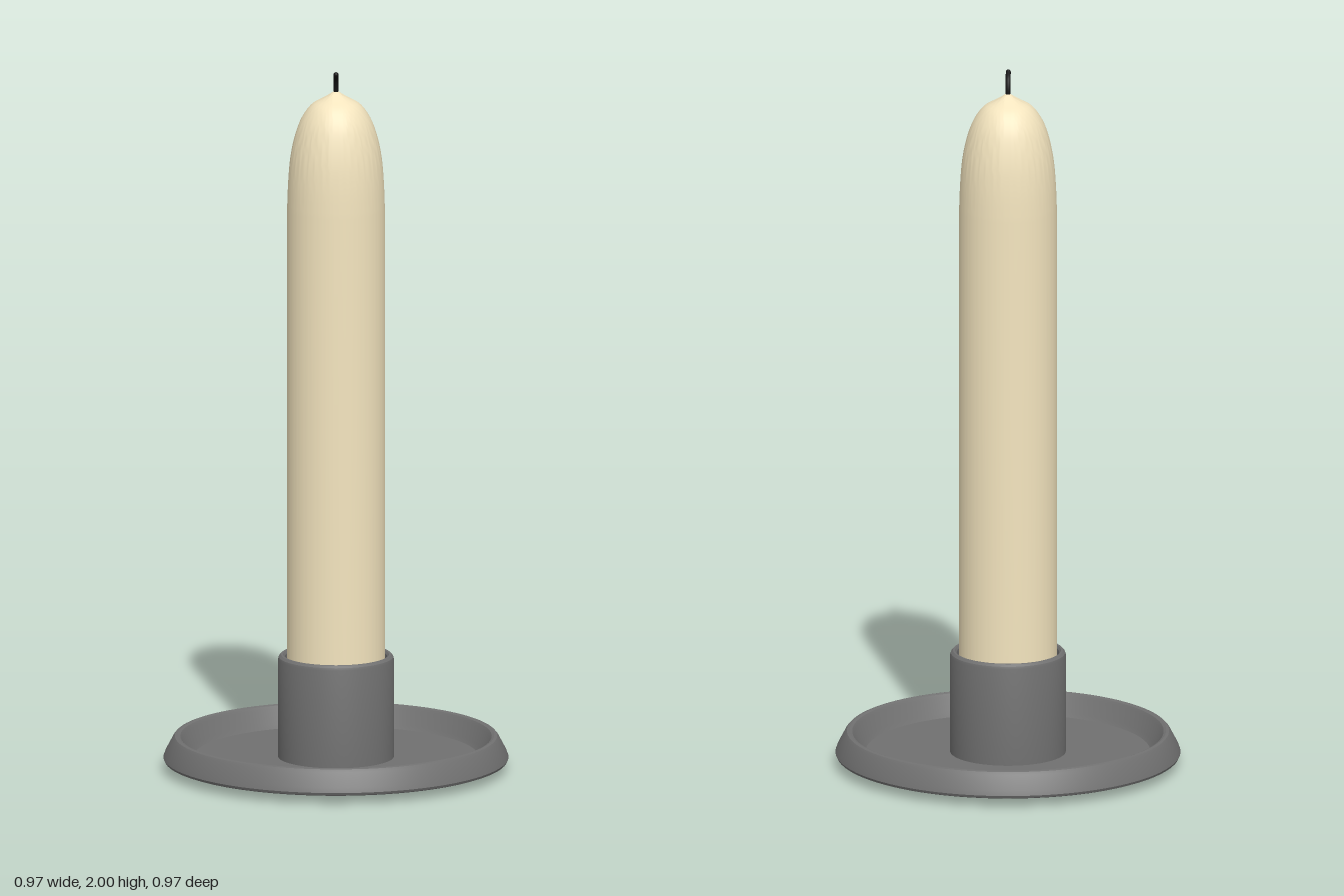
import * as THREE from 'three';
import { toCreasedNormals } from 'three/addons/utils/BufferGeometryUtils.js';

const metal = new THREE.MeshStandardMaterial({ color: 0x707070 });
const wax = new THREE.MeshStandardMaterial({ color: 0xf3e4be });
const char = new THREE.MeshStandardMaterial({ color: 0x141414 });

// Turned part from [radius, height] pairs, listed from the bottom axis outwards and up
function turned(name, profile, material, segments = 80) {
  const points = profile.map(([r, y]) => new THREE.Vector2(r, y));
  const geometry = toCreasedNormals(new THREE.LatheGeometry(points, segments), 0.5);
  const mesh = new THREE.Mesh(geometry, material);
  mesh.name = name;
  return mesh;
}

// Wax body with a softly fluted shoulder
function makeCandle() {
  const dome = new THREE.SplineCurve([
    [0.137, 1.6], [0.134, 1.68], [0.128, 1.75], [0.116, 1.81],
    [0.098, 1.86], [0.07, 1.9], [0.035, 1.921], [0, 1.943],
  ].map(([r, y]) => new THREE.Vector2(r, y))).getPoints(24);
  dome[dome.length - 1].x = 0;
  const points = [new THREE.Vector2(0, 0.04), new THREE.Vector2(0.137, 0.04), ...dome];
  const flutes = 40;
  const geometry = new THREE.LatheGeometry(points, flutes * 4);
  const pos = geometry.attributes.position;
  for (let i = 0; i < pos.count; i++) {
    const x = pos.getX(i), y = pos.getY(i), z = pos.getZ(i);
    const fade = Math.sin(Math.PI * THREE.MathUtils.clamp((y - 1.68) / 0.22, 0, 1));
    const k = 1 - 0.012 * fade * (0.5 - 0.5 * Math.cos(flutes * Math.atan2(x, z)));
    pos.setXYZ(i, x * k, y, z * k);
  }
  const mesh = new THREE.Mesh(toCreasedNormals(geometry, 0.6), wax);
  mesh.name = 'candle';
  return mesh;
}

// Curved wick leaning to the front, with a rounded tip
function makeWick() {
  const group = new THREE.Group();
  group.name = 'wick';
  const curve = new THREE.CatmullRomCurve3([
    new THREE.Vector3(0, 1.92, 0),
    new THREE.Vector3(0, 1.955, 0.002),
    new THREE.Vector3(0, 1.978, 0.013),
    new THREE.Vector3(0, 1.994, 0.033),
  ]);
  const stem = new THREE.Mesh(new THREE.TubeGeometry(curve, 20, 0.007, 10), char);
  stem.name = 'wickStem';
  const tip = new THREE.Mesh(new THREE.SphereGeometry(0.007, 12, 8), char);
  tip.name = 'wickTip';
  tip.position.copy(curve.getPoint(1));
  group.add(stem, tip);
  return group;
}

export function createModel() {
  const model = new THREE.Group();
  model.name = 'candleInHolder';

  // Dish with a sloping raised rim
  model.add(turned('dish', [
    [0, 0.024], [0.472, 0.024], [0.48, 0.027], [0.483, 0.034], [0.478, 0.048],
    [0.457, 0.088], [0.451, 0.095], [0.443, 0.097], [0.436, 0.094],
    [0.43, 0.086], [0.408, 0.047], [0.398, 0.036], [0, 0.036],
  ], metal, 96));

  // Low foot under the dish
  model.add(turned('foot', [
    [0, 0], [0.05, 0], [0.055, 0.006], [0.15, 0.008], [0.158, 0.013], [0.158, 0.026],
  ], metal));

  // Cup that grips the candle
  model.add(turned('socket', [
    [0.162, 0.03], [0.162, 0.315], [0.16, 0.322], [0.154, 0.328],
    [0.148, 0.328], [0.143, 0.322], [0.14, 0.3], [0.138, 0.06], [0, 0.06],
  ], metal));

  model.add(makeCandle(), makeWick());
  return model;
}
